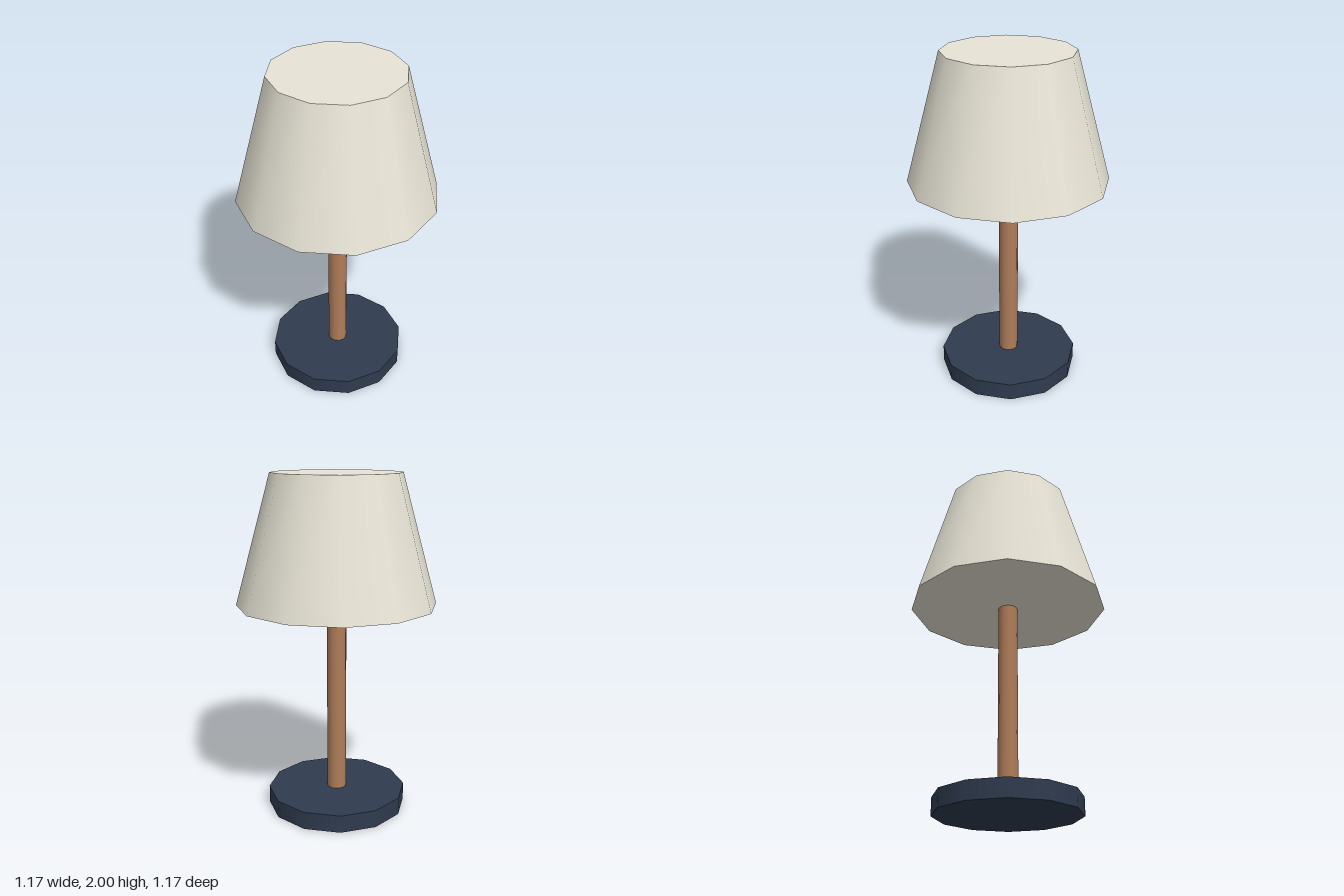
import * as THREE from 'three';

const SIDES = 12;

// Closed, smooth-sided round part standing between two heights
function roundPart(name, topRadius, bottomRadius, y0, y1, color) {
  const geometry = new THREE.CylinderGeometry(topRadius, bottomRadius, y1 - y0, SIDES);
  const mesh = new THREE.Mesh(geometry, new THREE.MeshStandardMaterial({ color }));
  mesh.name = name;
  mesh.position.y = (y0 + y1) / 2;
  return mesh;
}

export function createModel() {
  const lamp = new THREE.Group();
  lamp.name = 'tableLamp';
  lamp.add(
    roundPart('base', 0.415, 0.415, 0, 0.105, 0x2f3b4f),
    roundPart('pole', 0.057, 0.057, 0.105, 1.25, 0xb07d5a),
    roundPart('shade', 0.375, 0.583, 1.25, 2, 0xe8e4d6),
  );
  return lamp;
}
